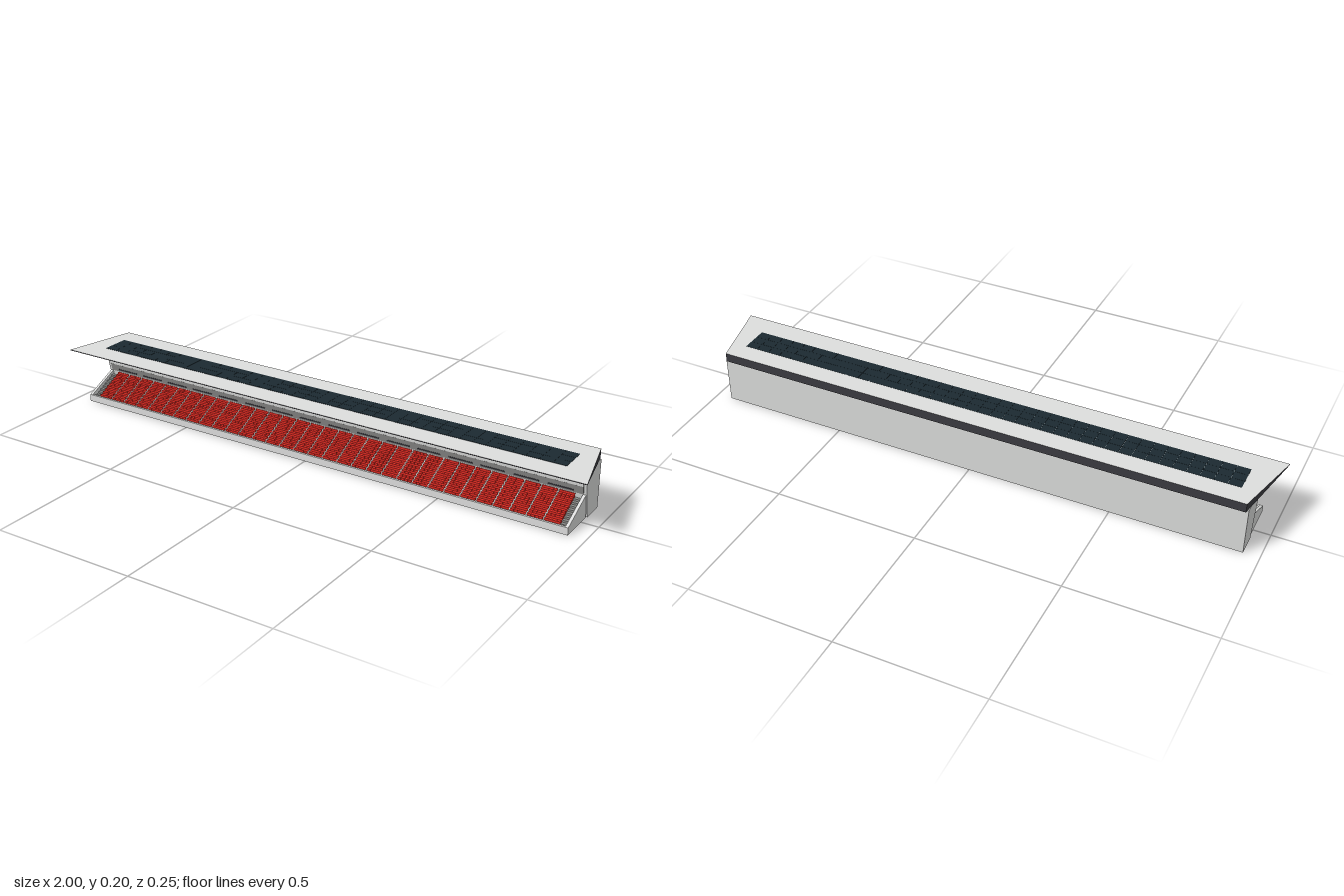
import * as THREE from 'three';
import { mergeGeometries } from 'three/addons/utils/BufferGeometryUtils.js';

const mat = (name, color) => {
  const m = new THREE.MeshStandardMaterial({ color });
  m.name = name;
  return m;
};

// Box placed by its centre
const box = (w, h, d, x, y, z) => new THREE.BoxGeometry(w, h, d).translate(x, y, z);

// Extrudes a [z, y] profile along x between x0 and x1
function prism(profile, x0, x1) {
  const shape = new THREE.Shape(profile.map(([z, y]) => new THREE.Vector2(-z, y)));
  return new THREE.ExtrudeGeometry(shape, { depth: x1 - x0, bevelEnabled: false })
    .rotateY(Math.PI / 2).translate(x0, 0, 0);
}

export function createModel() {
  const concrete = mat('concrete', 0xdddedd);
  const paleConcrete = mat('pale concrete', 0xe8e9e8);
  const midGrey = mat('mid grey', 0x8c8c8a);
  const roofDark = mat('dark roof metal', 0x3c3c42);
  const seatRed = mat('seat red', 0xe02a22);
  const glass = mat('glass', 0x24303a);
  const solar = mat('solar panel', 0x1c2a31);
  const trim = mat('crimson trim', 0xb83058);

  const model = new THREE.Group();
  model.name = 'grandstand';
  const add = (name, geos, material, parent = model) => {
    const mesh = new THREE.Mesh(Array.isArray(geos) ? mergeGeometries(geos) : geos, material);
    mesh.name = name;
    parent.add(mesh);
  };

  // Main building: core with a recess for the upper windows, and full-height end walls
  add('buildingCore', prism([[-0.117, 0], [-0.04, 0], [-0.0122, 0.125], [-0.0222, 0.125],
    [-0.0105, 0.177], [-0.117, 0.166]], -0.935, 0.935), concrete);
  const endWall = [[-0.117, 0], [-0.04, 0], [0, 0.18], [-0.117, 0.167]];
  add('endWalls', [prism(endWall, -0.945, -0.935), prism(endWall, 0.935, 0.945)], concrete);

  // Everything on the leaning front face sits in a tilted group
  const front = new THREE.Group();
  front.name = 'frontFacade';
  front.position.z = -0.04;
  front.rotation.x = Math.atan(0.04 / 0.18);
  model.add(front);
  add('windowBand', box(1.868, 0.054, 0.003, 0, 0.155, -0.0085), glass, front);
  add('balconyLedge', box(1.87, 0.012, 0.004, 0, 0.121, 0), paleConcrete, front);
  add('lowerWallBand', box(1.87, 0.028, 0.002, 0, 0.1, 0), midGrey, front);
  const mullions = [];
  for (let i = 1; i < 20; i++) mullions.push(box(0.006, 0.054, 0.007, -0.94 + i * 0.094, 0.155, -0.0055));
  add('mullions', mullions, paleConcrete, front);
  add('loungeFrame', [
    box(0.59, 0.005, 0.003, 0, 0.169, -0.001), box(0.59, 0.006, 0.003, 0, 0.147, -0.001),
    box(0.59, 0.005, 0.003, 0, 0.135, -0.001),
    box(0.005, 0.039, 0.003, -0.295, 0.152, -0.001), box(0.005, 0.039, 0.003, 0.295, 0.152, -0.001),
  ], trim, front);
  const doors = [];
  for (let i = 0; i < 16; i++) doors.push(box(0.085, 0.005, 0.002, (i - 7.5) * 0.1145, 0.094, 0.001));
  add('entranceSlots', doors, roofDark, front);

  // Wedge roof, tapering in plan to the back and in thickness to the front
  const roofGeo = new THREE.BoxGeometry(2, 1, 0.25);
  const p = roofGeo.attributes.position;
  for (let i = 0; i < p.count; i++) {
    const isFront = p.getZ(i) > 0;
    const y = p.getY(i) > 0 ? (isFront ? 0.1955 : 0.197) : (isFront ? 0.193 : 0.165);
    p.setXYZ(i, Math.sign(p.getX(i)) * (isFront ? 1 : 0.938), y, p.getZ(i));
  }
  roofGeo.computeVertexNormals();
  add('roof', roofGeo, [roofDark, roofDark, concrete, midGrey, roofDark, roofDark]);

  // Solar panels on the roof
  const panels = [];
  for (let i = 0; i < 40; i++) {
    for (let j = 0; j < 3; j++) {
      panels.push(box(0.0444, 0.0014, 0.0328, (i - 19.5) * 0.045, 0.1965, -0.005 + (j - 1) * 0.0333));
    }
  }
  add('solarPanels', panels, solar);

  // Small lamps beneath the canopy
  const lamps = [];
  for (let i = 0; i < 20; i++) lamps.push(box(0.012, 0.003, 0.006, (i - 9.5) * 0.094, 0.184, 0.05));
  add('canopyLamps', lamps, roofDark);

  // Seating tier: thin folded terrace, open underneath
  const rows = 9, run = 0.0126, rise = 0.0067, z0 = 0.092, y0 = 0.014;
  const upper = [], lower = [];
  for (let i = 0; i < rows; i++) {
    const z = z0 - i * run, y = y0 + i * rise;
    upper.push([z, y], [z - run, y]);
    lower.push([z - 0.002, y - 0.003], [z - run - 0.002, y - 0.003]);
  }
  add('terrace', prism([...upper, ...lower.reverse()], -0.932, 0.932), midGrey);
  const cheek = [[0.1, 0], [0.1, 0.025], [-0.022, 0.083], [-0.033, 0.03], [-0.033, 0]];
  add('terraceEndWalls', [prism(cheek, -0.942, -0.932), prism(cheek, 0.932, 0.942)], concrete);
  add('frontParapet', box(1.87, 0.025, 0.008, 0, 0.0125, 0.096), concrete);

  // Seats in 32 blocks, with pale stairs between the blocks
  const seats = [], stairs = [];
  const blocks = 32, pitch = 0.0569, perBlock = 4, seatPitch = 0.013;
  for (let r = 0; r < rows; r++) {
    const z = z0 - r * run, y = y0 + r * rise;
    for (let b = 0; b < blocks; b++) {
      const bx = (b - (blocks - 1) / 2) * pitch;
      for (let s = 0; s < perBlock; s++) {
        const x = bx + (s - (perBlock - 1) / 2) * seatPitch;
        seats.push(box(0.0124, 0.006, 0.009, x, y + 0.003, z - 0.005));
        seats.push(box(0.0124, 0.0135, 0.0022, x, y + 0.00675, z - 0.0106));
      }
      if (b > 0) stairs.push(box(0.0042, 0.007, run, bx - pitch / 2, y + 0.0035, z - run / 2));
    }
  }
  add('seats', seats, seatRed);
  add('aisleStairs', stairs, paleConcrete);

  return model;
}
